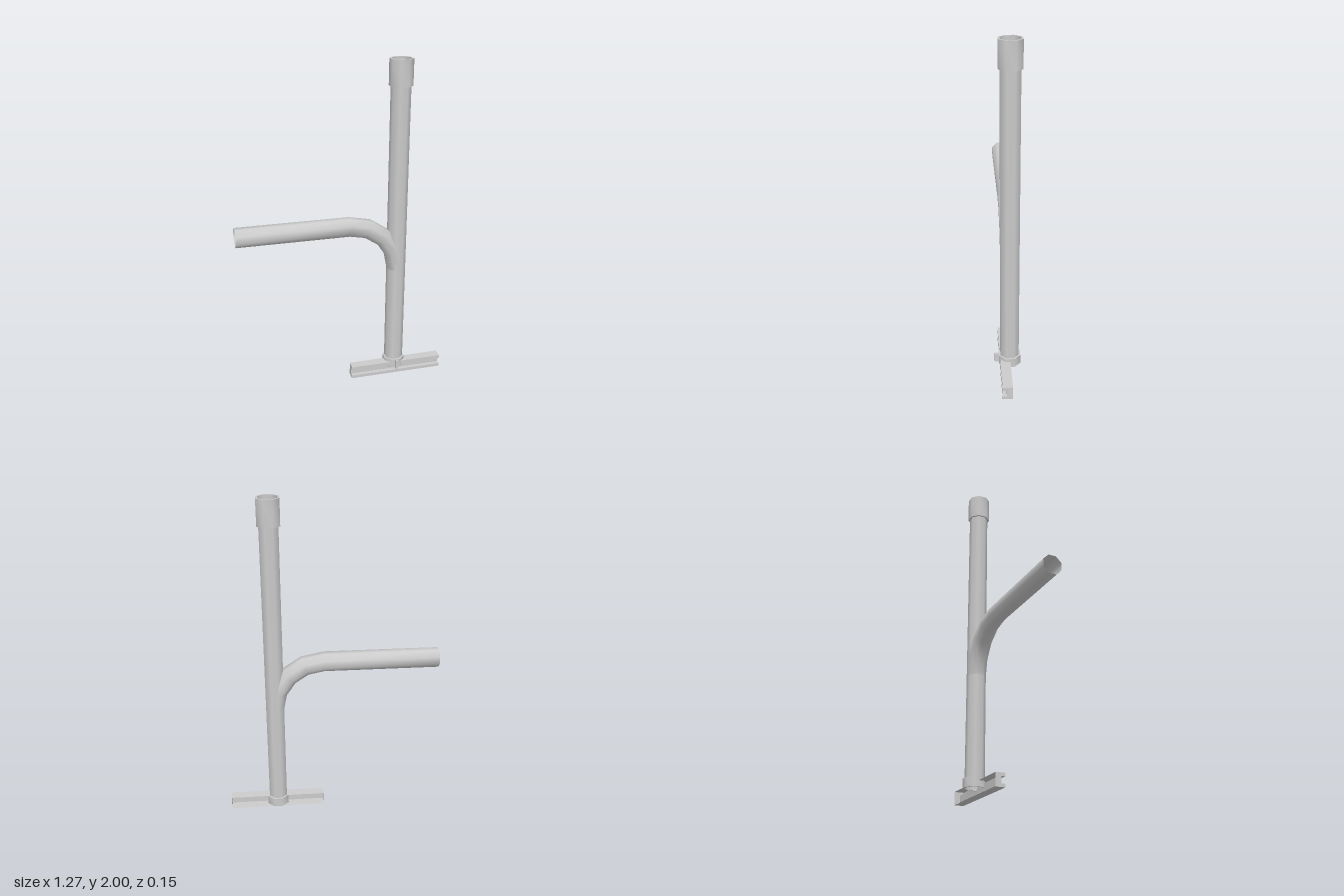
import * as THREE from 'three';
import { toCreasedNormals } from 'three/addons/utils/BufferGeometryUtils.js';

const SIDES = 8;
const POST_X = 0.34, POST_Z = -0.012;
const PIPE_R = 0.0585;   // corner radius of the eight-sided pipe
const SLEEVE_R = 0.0693; // corner radius of the sleeves

const material = new THREE.MeshStandardMaterial({ color: 0xcccccc, side: THREE.DoubleSide });

function addMesh(parent, name, geometry) {
  const mesh = new THREE.Mesh(geometry, material);
  mesh.name = name;
  parent.add(mesh);
  return mesh;
}

// Eight-sided hollow sleeve with a wall thickness, flats facing the axes
function sleeve(y0, y1) {
  const profile = [[PIPE_R, y0], [SLEEVE_R, y0], [SLEEVE_R, y1], [PIPE_R, y1], [PIPE_R, y0]]
    .map(([r, y]) => new THREE.Vector2(r, y));
  const g = new THREE.LatheGeometry(profile, SIDES, Math.PI / SIDES);
  return toCreasedNormals(g, 0.9);
}

// Pipe swept through stations [x, y, angle], where angle 0 runs along +x and PI/2 runs down
function sweptPipe(stations) {
  const positions = [], index = [];
  stations.forEach(([x, y, a], i) => {
    for (let j = 0; j < SIDES; j++) {
      const t = ((j + 0.5) / SIDES) * Math.PI * 2;
      const u = PIPE_R * Math.cos(t);
      positions.push(x + u * Math.sin(a), y + u * Math.cos(a), PIPE_R * Math.sin(t));
      if (i === 0) continue;
      const k = (j + 1) % SIDES;
      const p = (i - 1) * SIDES, q = i * SIDES;
      index.push(p + j, p + k, q + j, p + k, q + k, q + j);
    }
  });
  const g = new THREE.BufferGeometry();
  g.setAttribute('position', new THREE.Float32BufferAttribute(positions, 3));
  g.setIndex(index);
  g.computeVertexNormals();
  return g;
}

// Rail with a grooved front, open back and closed ends
function buildRail() {
  const rail = new THREE.Group();
  rail.name = 'baseRail';
  const x0 = 0.05, x1 = 0.637, length = x1 - x0;
  const back = -0.014, front = 0.045, groove = 0.021;
  // Section as [z, y], from bottom back round the front to top back
  const section = [
    [back, 0], [front, 0], [front, 0.02], [groove, 0.02],
    [groove, 0.06], [front, 0.06], [front, 0.08], [back, 0.08],
  ];
  for (let i = 0; i < section.length - 1; i++) {
    const [za, ya] = section[i], [zb, yb] = section[i + 1];
    const wall = new THREE.PlaneGeometry(length, Math.hypot(zb - za, yb - ya));
    wall.rotateX(Math.atan2(zb - za, yb - ya));
    wall.translate((x0 + x1) / 2, (ya + yb) / 2, (za + zb) / 2);
    addMesh(rail, 'railWall', wall);
  }
  const endShape = new THREE.Shape(section.map(([z, y]) => new THREE.Vector2(-z, y)));
  for (const x of [x0, x1]) {
    const end = new THREE.ShapeGeometry(endShape);
    end.rotateY(Math.PI / 2);
    end.translate(x, 0, 0);
    addMesh(rail, 'railEnd', end);
  }
  return rail;
}

export function createModel() {
  const model = new THREE.Group();
  model.name = 'branchedPipeStand';

  // Upright pipe with its top and bottom sleeves
  const upright = new THREE.Group();
  upright.name = 'upright';
  upright.position.set(POST_X, 0, POST_Z);
  const post = new THREE.CylinderGeometry(PIPE_R, PIPE_R, 1.82, SIDES, 1, true, Math.PI / SIDES);
  post.translate(0, 0.99, 0);
  addMesh(upright, 'post', post);
  addMesh(upright, 'topSleeve', sleeve(1.847, 2));
  addMesh(upright, 'baseClamp', sleeve(0.043, 0.1));

  // Small fin on the front of the clamp
  const fin = new THREE.BoxGeometry(0.013, 0.057, 0.03);
  fin.translate(0, 0.0715, 0.073);
  addMesh(upright, 'clampFin', fin);
  model.add(upright);

  // Side branch: straight run, then a quarter bend down into the post
  const bendR = 0.297, bendX = POST_X - bendR, bendY = 0.726, steps = 4;
  const stations = [[-0.637, bendY + bendR, 0]];
  for (let i = 0; i <= steps; i++) {
    const a = (i / steps) * Math.PI / 2;
    stations.push([bendX + bendR * Math.sin(a), bendY + bendR * Math.cos(a), a]);
  }
  addMesh(model, 'sideBranch', sweptPipe(stations)).position.z = POST_Z;

  model.add(buildRail());
  return model;
}
